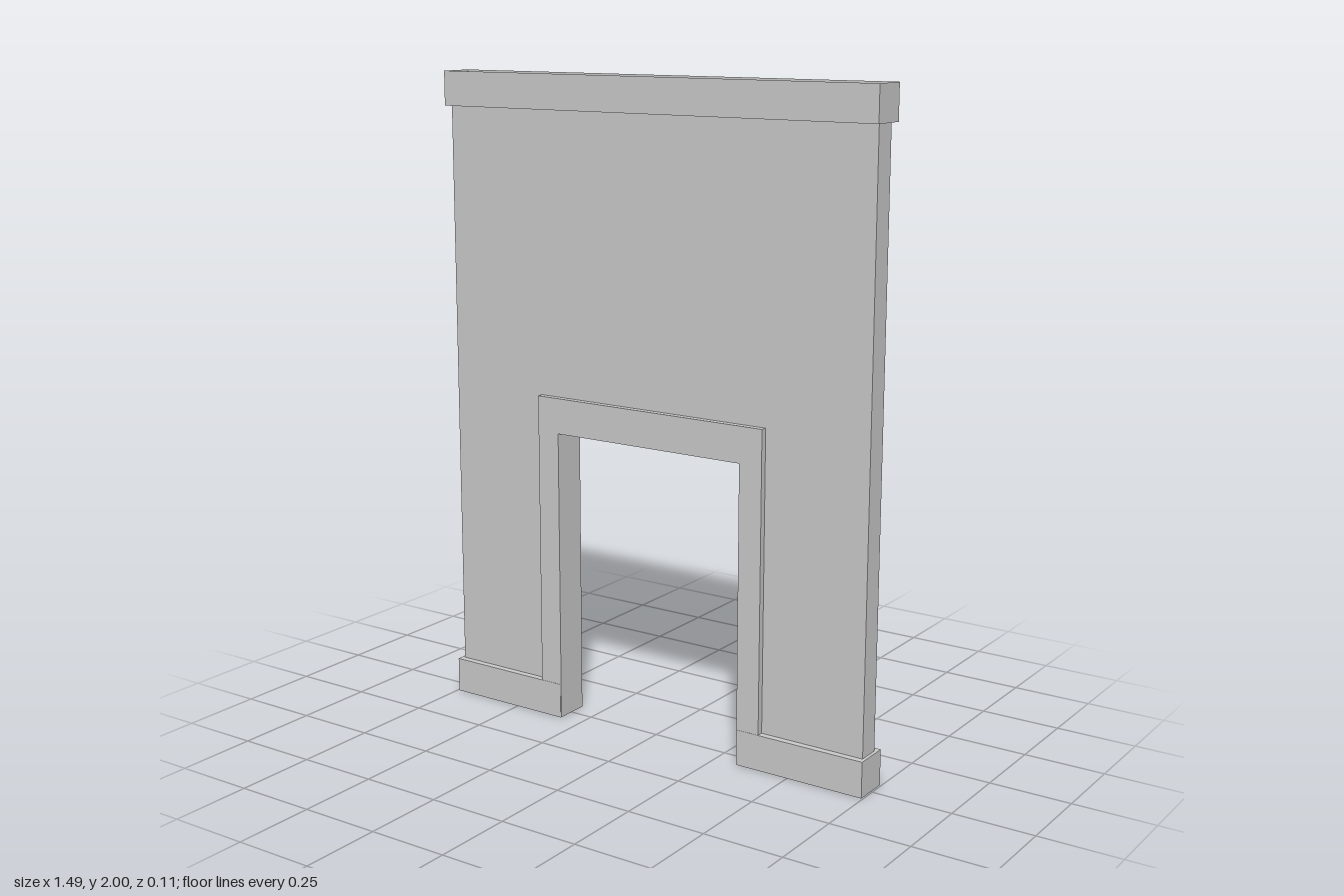
import * as THREE from 'three';

const material = new THREE.MeshStandardMaterial({ color: 0xcccccc, side: THREE.DoubleSide });

// Solid upside-down U outline extruded symmetrically about z = 0
function archPanel(name, outerX, innerX, bottom, innerTop, top, depth) {
  const shape = new THREE.Shape([
    [-outerX, bottom], [-innerX, bottom], [-innerX, innerTop], [innerX, innerTop],
    [innerX, bottom], [outerX, bottom], [outerX, top], [-outerX, top],
  ].map(([x, y]) => new THREE.Vector2(x, y)));
  const geometry = new THREE.ExtrudeGeometry(shape, { depth, bevelEnabled: false });
  geometry.translate(0, 0, -depth / 2);
  const mesh = new THREE.Mesh(geometry, material);
  mesh.name = name;
  return mesh;
}

// Thin-walled box with one open side (top or bottom) and a recessed panel inside it
function tray(name, x0, x1, y0, y1, depth, recess, openTop) {
  const group = new THREE.Group();
  group.name = name;
  const w = x1 - x0, h = y1 - y0;
  const box = new THREE.BoxGeometry(w, h, depth);
  const start = openTop ? 12 : 18;
  const index = Array.from(box.index.array).filter((_, i) => i < start || i >= start + 6);
  box.setIndex(index);
  box.clearGroups();
  const shell = new THREE.Mesh(box, material);
  shell.name = name + 'Shell';
  const panel = new THREE.Mesh(new THREE.PlaneGeometry(w, depth), material);
  panel.name = name + 'Recess';
  panel.rotation.x = openTop ? -Math.PI / 2 : Math.PI / 2;
  panel.position.y = openTop ? h / 2 - recess : recess - h / 2;
  group.add(shell, panel);
  group.position.set((x0 + x1) / 2, (y0 + y1) / 2, 0);
  return group;
}

export function createModel() {
  const model = new THREE.Group();
  model.name = 'doorwayWall';

  // Wall with the doorway cut out, and the thicker frame lining it
  model.add(archPanel('wall', 0.735, 0.36, 0.1, 0.97, 1.92, 0.07));
  model.add(archPanel('doorFrame', 0.4, 0.325, 0.001, 0.92, 1.03, 0.11));

  // Top moulding, open upwards
  model.add(tray('topMoulding', -0.745, 0.745, 1.895, 2, 0.112, 0.025, true));

  // Skirting on each side of the doorway, open downwards
  model.add(tray('leftSkirting', 0.327, 0.745, 0, 0.11, 0.112, 0.09, false));
  model.add(tray('rightSkirting', -0.745, -0.327, 0, 0.11, 0.112, 0.09, false));

  return model;
}
